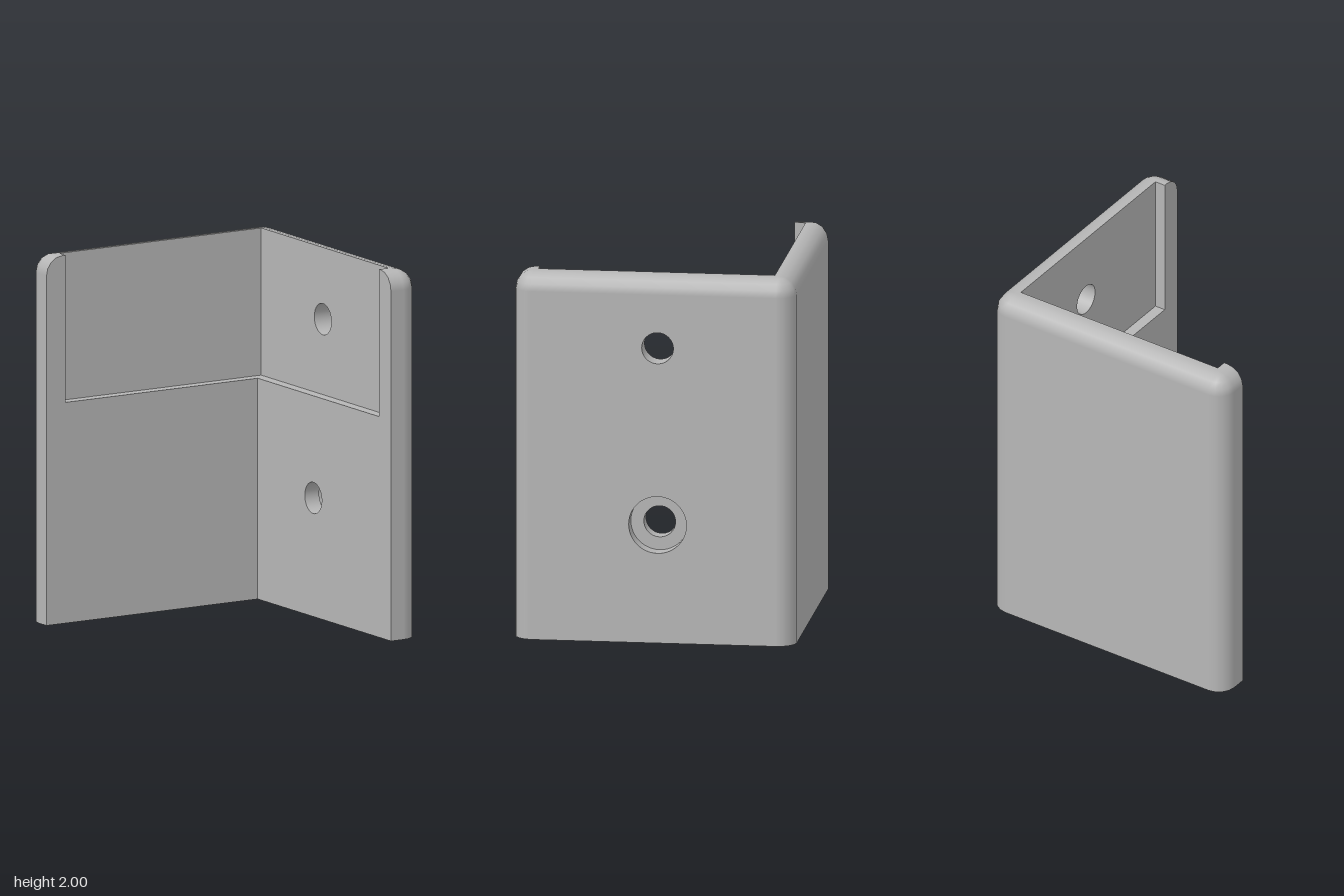
import * as THREE from 'three';

const H = 0.755;              // half width of the outer corner
const R = 0.1, C = H - R;     // edge rounding and its core
const TOP = 2, SHOULDER = TOP - R;
const IN = 0.575;             // inner wall faces
const REC = 0.635;            // recessed wall faces
const FLOOR = 1.2;            // recess floor height
const SEG = 4;                // facets per rounded quarter
const HOLE_Z = -0.02, HOLE_R = 0.085, BORE_R = 0.155, BORE_DEPTH = 0.09;
const UPPER_Y = 1.61, LOWER_Y = 0.645;

const grey = new THREE.MeshStandardMaterial({ color: 0xb6b6b6, side: THREE.DoubleSide });
grey.name = 'grey';

export function createModel() {
  const group = new THREE.Group();
  group.name = 'cornerBracket';

  const add = (name, geometry) => {
    const mesh = new THREE.Mesh(geometry, grey);
    mesh.name = name;
    group.add(mesh);
    return mesh;
  };

  // Flat face from an outline [u, v], with round holes [u, v, radius]
  const face = (name, outline, holes = []) => {
    const shape = new THREE.Shape(outline.map(([u, v]) => new THREE.Vector2(u, v)));
    for (const [u, v, r] of holes) {
      shape.holes.push(new THREE.Path().absarc(u, v, r, 0, Math.PI * 2, true));
    }
    return add(name, new THREE.ShapeGeometry(shape, 24));
  };
  const rect = (u0, v0, u1, v1) => [[u0, v0], [u1, v0], [u1, v1], [u0, v1]];

  add('outerShell', outerShell());

  // Outer side panel with both screw holes (u = -z)
  const panel = face('sidePanel', rect(-C, 0, C, SHOULDER),
    [[-HOLE_Z, UPPER_Y, HOLE_R], [-HOLE_Z, LOWER_Y, BORE_R]]);
  panel.rotation.y = Math.PI / 2;
  panel.position.x = H;

  // Inner wall outline: rounded at the far top corner, notched for the recess
  const wall = [[IN, 0], [-H, 0]];
  for (let i = 0; i <= SEG; i++) {
    const a = (i / SEG) * Math.PI / 2;
    wall.push([-C - R * Math.cos(a), SHOULDER + R * Math.sin(a)]);
  }
  wall.push([-REC, TOP], [-REC, FLOOR], [IN, FLOOR]);

  face('backInnerFace', wall).position.z = -IN;
  face('backRecessFace', rect(-REC, FLOOR, REC, TOP)).position.z = -REC;

  const sideInner = face('sideInnerFace', wall.map(([u, v]) => [-u, v]), [[HOLE_Z, LOWER_Y, HOLE_R]]);
  sideInner.rotation.y = -Math.PI / 2;
  sideInner.position.x = IN;
  const sideRecess = face('sideRecessFace', rect(-REC, FLOOR, REC, TOP), [[HOLE_Z, UPPER_Y, HOLE_R]]);
  sideRecess.rotation.y = -Math.PI / 2;
  sideRecess.position.x = REC;

  // Ends of the recess
  const backEnd = face('backRecessEnd', rect(IN, FLOOR, REC, TOP));
  backEnd.rotation.y = Math.PI / 2;
  backEnd.position.x = -REC;
  const sideEnd = face('sideRecessEnd', rect(-REC, FLOOR, -IN, TOP));
  sideEnd.rotation.y = Math.PI;
  sideEnd.position.z = REC;

  // Horizontal L-shaped faces (v = -z)
  const level = (name, outline, y) => {
    const mesh = face(name, outline);
    mesh.rotation.x = -Math.PI / 2;
    mesh.position.y = y;
  };
  level('recessFloor',
    [[-REC, IN], [IN, IN], [IN, -REC], [REC, -REC], [REC, REC], [-REC, REC]], FLOOR);
  level('topRim', [[-C, IN], [-REC, IN], [-REC, REC], [REC, REC], [REC, -REC],
    [IN, -REC], [IN, -C], [C, -C], [C, C], [-C, C]], TOP);

  // Bottom follows the rounded outer edge (v = z)
  const bottom = face('bottom', [...edgePath().map(([x, z, a]) =>
    [x + R * Math.cos(a), z + R * Math.sin(a)]), [IN, -IN]]);
  bottom.rotation.x = Math.PI / 2;

  // Screw holes
  const tube = (name, y, r, x0, x1) => {
    const mesh = add(name, new THREE.CylinderGeometry(r, r, x1 - x0, 48, 1, true));
    mesh.rotation.z = Math.PI / 2;
    mesh.position.set((x0 + x1) / 2, y, HOLE_Z);
  };
  const seat = H - BORE_DEPTH;
  tube('upperHole', UPPER_Y, HOLE_R, REC, H);
  tube('lowerHole', LOWER_Y, HOLE_R, IN, seat);
  tube('counterbore', LOWER_Y, BORE_R, seat, H);
  const ring = add('counterboreSeat', new THREE.RingGeometry(HOLE_R, BORE_R, 48));
  ring.rotation.y = Math.PI / 2;
  ring.position.set(seat, LOWER_Y, HOLE_Z);

  return group;
}

// Core points [x, z, angle] along the outer edge, from back wall end to side wall end
function edgePath() {
  const path = [[-C, -IN, Math.PI]];
  [[-C, -C, 2], [C, -C, 3], [C, C, 4]].forEach(([x, z, quarter]) => {
    for (let i = 0; i <= SEG; i++) path.push([x, z, (quarter + i / SEG) * Math.PI / 2]);
  });
  path.push([IN, C, Math.PI * 2.5]);
  return path;
}

// Rounded outer skin swept along the edge path; the side panel is left open
function outerShell() {
  const path = edgePath();
  const levels = [[0, 0]];
  for (let i = 0; i <= SEG; i++) levels.push([SHOULDER, (i / SEG) * Math.PI / 2]);
  const pos = [], nor = [], idx = [];
  for (const [y, t] of levels) {
    for (const [x, z, a] of path) {
      const n = [Math.cos(a) * Math.cos(t), Math.sin(t), Math.sin(a) * Math.cos(t)];
      pos.push(x + R * n[0], y + R * n[1], z + R * n[2]);
      nor.push(...n);
    }
  }
  const panelSegment = 2 * (SEG + 1);
  for (let j = 0; j < levels.length - 1; j++) {
    for (let i = 0; i < path.length - 1; i++) {
      if (j === 0 && i === panelSegment) continue;
      const a = j * path.length + i, b = a + path.length;
      idx.push(a, b, a + 1, a + 1, b, b + 1);
    }
  }
  const g = new THREE.BufferGeometry();
  g.setAttribute('position', new THREE.Float32BufferAttribute(pos, 3));
  g.setAttribute('normal', new THREE.Float32BufferAttribute(nor, 3));
  g.setIndex(idx);
  return g;
}
